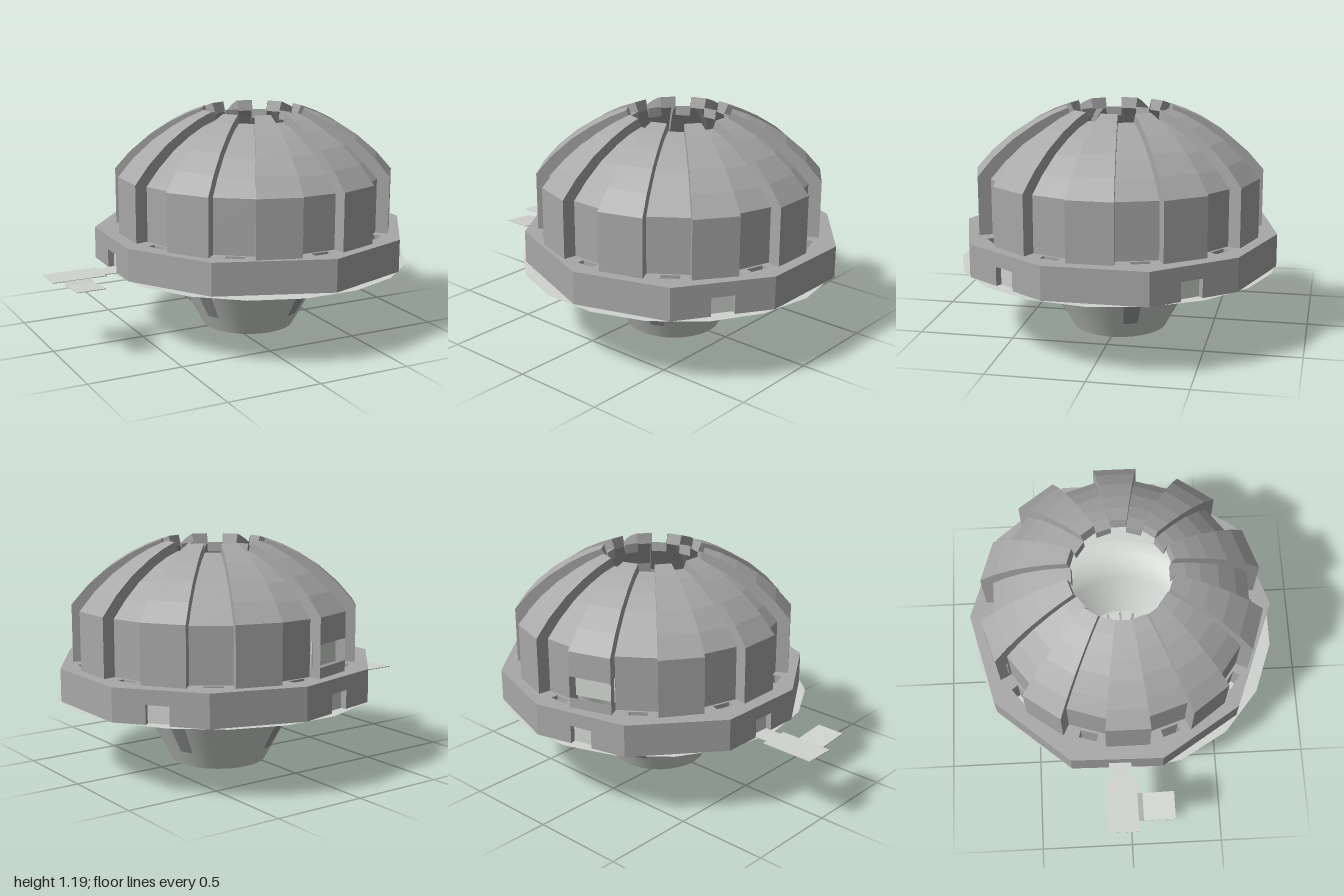
import * as THREE from 'three';

const CX = 0.165, CZ = -0.005, D = Math.PI / 180;
const mat = (name, color) => new THREE.MeshStandardMaterial({ name, color, side: THREE.DoubleSide });

export function createModel() {
  const group = new THREE.Group();
  const grey = mat('shellGrey', 0xa8a8a8);
  const light = mat('paleGrey', 0xd0d4d0);
  const dark = mat('darkGrey', 0x9c9f9d);

  const add = (name, geo, material, x = 0, y = 0, z = 0, ry = 0) => {
    const m = new THREE.Mesh(geo, material);
    m.name = name;
    m.position.set(x, y, z);
    m.rotation.y = ry;
    group.add(m);
    return m;
  };
  // azimuth 0 is +z, 90 is +x
  const polar = (az, r, y) => [r * Math.sin(az * D), y, r * Math.cos(az * D)];

  // Dome shell: ten raised petals alternating with ten recessed strips
  const petal = [[0.748, 0.55], [0.748, 0.605], [0.748, 0.72], [0.748, 0.855], [0.665, 0.95], [0.56, 1.04],
    [0.45, 1.11], [0.36, 1.155], [0.275, 1.187], [0.262, 1.13]];
  const recess = [[0.68, 0.55], [0.68, 0.605], [0.68, 0.72], [0.68, 0.84], [0.605, 0.925], [0.51, 1.01],
    [0.41, 1.075], [0.33, 1.115], [0.255, 1.14], [0.25, 1.09]];
  const pos = [];
  const quad = (a, b, c, d) => pos.push(...a, ...b, ...c, ...a, ...c, ...d);
  const WINDOW = 11;
  for (let i = 0; i < 20; i++) {
    const p = i % 2 ? petal : recess;
    const a0 = (i - 0.5) * 18, a1 = a0 + 18;
    for (let k = 0; k < p.length - 1; k++) {
      const [r, y] = p[k], [r2, y2] = p[k + 1];
      if (!(i === WINDOW && k === 1)) {
        quad(polar(a0, r, y), polar(a1, r, y), polar(a1, r2, y2), polar(a0, r2, y2));
      }
      // step between this strip and the next
      const n = (i % 2 ? recess : petal), s = [polar(a1, ...p[k]), polar(a1, ...n[k]), polar(a1, ...n[k + 1]), polar(a1, ...p[k + 1])];
      if (i % 2) quad(...s); else quad(s[1], s[0], s[3], s[2]);
    }
  }
  const domeGeo = new THREE.BufferGeometry();
  domeGeo.setAttribute('position', new THREE.Float32BufferAttribute(pos, 3));
  domeGeo.computeVertexNormals();
  add('dome', domeGeo, grey, CX, 0, CZ);

  // Pale panel behind the rear window
  add('windowPanel', new THREE.BoxGeometry(0.23, 0.13, 0.006), light,
    CX + 0.685 * Math.sin(198 * D), 0.6625, CZ + 0.685 * Math.cos(198 * D), 198 * D);

  // Ten-sided base ring with slots through the top and notches in the wall
  const corners = [[0.195, 0.82], [0.675, 0.66], [0.965, 0.22], [0.965, -0.3], [0.66, -0.68],
    [0.2, -0.835], [-0.3, -0.71], [-0.64, -0.31], [-0.65, 0.18], [-0.385, 0.6]];
  const notches = { 1: 0.5, 3: 0.47, 5: 0.51, 7: 0.53 };
  const slots = corners.map((_, i) => {
    const az = i * 36 + 1;
    return { az, x: CX + 0.705 * Math.sin(az * D), z: CZ + 0.705 * Math.cos(az * D) };
  });
  const ringLayer = (name, y, height, notched) => {
    const pts = [];
    corners.forEach(([x, z], i) => {
      const [x2, z2] = corners[(i + 1) % 10];
      pts.push(new THREE.Vector2(x, -z));
      if (!notched || !(i in notches)) return;
      const len = Math.hypot(x2 - x, z2 - z), tx = (x2 - x) / len, tz = (z2 - z) / len;
      const mid = notches[i] * len;
      for (const [t, d] of [[-0.06, 0], [-0.06, 0.05], [0.06, 0.05], [0.06, 0]]) {
        pts.push(new THREE.Vector2(x + tx * (mid + t) - tz * -d * -1 * -1, -(z + tz * (mid + t) + tx * -d)));
      }
      // pale plate at the back of the notch
      const d = 0.035;
      add('notchPlate', new THREE.BoxGeometry(0.12, height, 0.006), light,
        x + tx * mid + tz * d, y + height / 2, z + tz * mid - tx * d, Math.atan2(-tz, tx));
    });
    const shape = new THREE.Shape(pts);
    shape.holes.push(new THREE.Path().absarc(CX, -CZ, 0.64, 0, Math.PI * 2, true));
    for (const s of slots) {
      const c = Math.cos(s.az * D), n = Math.sin(s.az * D);
      shape.holes.push(new THREE.Path([[-1, -1], [-1, 1], [1, 1], [1, -1]].map(([u, v]) =>
        new THREE.Vector2(s.x + u * 0.048 * c + v * 0.02 * n, -(s.z - u * 0.048 * n + v * 0.02 * c)))));
    }
    const geo = new THREE.ExtrudeGeometry(shape, { depth: height, bevelEnabled: false, curveSegments: 20 });
    geo.rotateX(-Math.PI / 2);
    add(name, geo, grey, 0, y, 0);
  };
  ringLayer('baseRingLower', 0.378, 0.097, true);
  ringLayer('baseRingUpper', 0.475, 0.075, false);

  // Locking tabs under the flange
  for (const s of slots) {
    add('flangeTab', new THREE.BoxGeometry(0.09, 0.01, 0.04), light, s.x, 0.369, s.z, s.az * D);
  }

  // Flange and funnel
  const flange = new THREE.RingGeometry(0.54, 0.835, 18, 1);
  flange.rotateX(-Math.PI / 2);
  add('flange', flange, light, CX, 0.374, 0);
  const FX = 0.135;
  const profile = [[0.25, 0], [0.385, 0.25], [0.415, 0.292], [0.455, 0.33], [0.5, 0.356], [0.55, 0.37], [0.6, 0.3735]];
  add('funnel', new THREE.LatheGeometry(profile.map(([r, y]) => new THREE.Vector2(r, y)), 48), light, FX);

  // Darker vertical strips on the funnel
  const coneR = y => 0.253 + 0.54 * y;
  for (const az of [24, 111, 204, 294]) {
    add('funnelStrip', new THREE.CylinderGeometry(coneR(0.245), coneR(0.09), 0.155, 6, 1, true,
      (az - 7) * D, 14 * D), dark, FX, 0.1675, 0);
  }

  // Bottom grille: plate, radial fins and open hub
  const plate = new THREE.RingGeometry(0.07, 0.262, 40);
  plate.rotateX(-Math.PI / 2);
  add('grillePlate', plate, light, FX, 0.03, 0);
  for (let i = 0; i < 20; i++) {
    const a = i * 18 * D;
    add('grilleFin', new THREE.BoxGeometry(0.012, 0.05, 0.165), grey,
      FX + 0.165 * Math.sin(a), 0.028, 0.165 * Math.cos(a), a);
  }
  const hub = [[0.066, 0.002], [0.086, 0.002], [0.086, 0.06], [0.066, 0.06], [0.066, 0.002]];
  add('grilleHub', new THREE.LatheGeometry(hub.map(([r, y]) => new THREE.Vector2(r, y)), 32), grey, FX);

  // Side latch: neck, main plate and sloping tongue
  add('latchNeck', new THREE.BoxGeometry(0.11, 0.004, 0.11), light, -0.665, 0.376, -0.045);
  add('latchPlate', new THREE.BoxGeometry(0.29, 0.004, 0.165), light, -0.855, 0.376, -0.0475);
  add('latchStep', new THREE.BoxGeometry(0.15, 0.004, 0.035), light, -0.865, 0.368, 0.045).rotation.x = 0.5;
  add('latchTongue', new THREE.BoxGeometry(0.15, 0.004, 0.172), light, -0.865, 0.366, 0.146).rotation.x = -0.08;

  return group;
}
